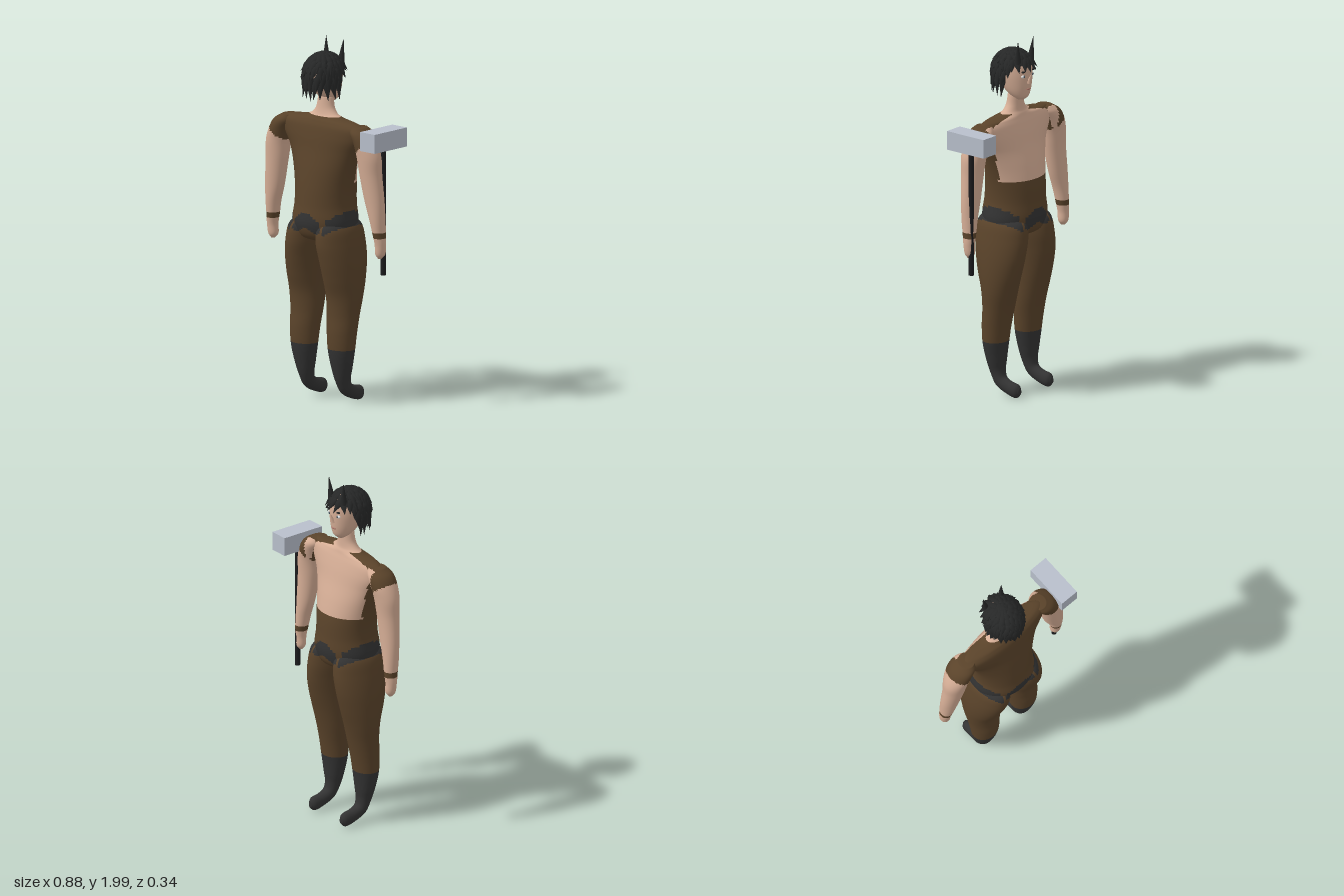
import * as THREE from 'three';

const mat = (name, color) => Object.assign(new THREE.MeshStandardMaterial({ color }), { name });

// Rows are [centreX, halfWidth, frontY, frontZ, backY, backZ], ordered from the bottom up.
// Each row is one oval ring; colourOf picks a material index for every face.
function loft(name, rows, materials, colourOf, side = 1, segments = 40, steps = 8) {
  const a = new THREE.CatmullRomCurve3(rows.map(r => new THREE.Vector3(r[0] * side, r[2], r[3])));
  const b = new THREE.CatmullRomCurve3(rows.map(r => new THREE.Vector3(r[1], r[4], r[5])));
  const n = (rows.length - 1) * steps;
  const pos = [], groups = materials.map(() => []);
  for (let i = 0; i <= n; i++) {
    const f = a.getPoint(i / n), k = b.getPoint(i / n);
    for (let j = 0; j < segments; j++) {
      const t = j / segments * Math.PI * 2, s = (1 + Math.sin(t)) / 2;
      pos.push(f.x + k.x * Math.cos(t), k.y + (f.y - k.y) * s, k.z + (f.z - k.z) * s);
    }
  }
  for (const r of [rows[0], rows[rows.length - 1]]) {
    pos.push(r[0] * side, (r[2] + r[4]) / 2, (r[3] + r[5]) / 2);
  }
  const face = (...ids) => {
    const c = [0, 1, 2].map(q => ids.reduce((sum, id) => sum + pos[id * 3 + q], 0) / ids.length);
    const list = groups[colourOf(Math.abs(c[0]), c[1], c[2])];
    list.push(ids[0], ids[1], ids[2]);
    if (ids.length === 4) list.push(ids[0], ids[2], ids[3]);
  };
  const end = (n + 1) * segments;
  for (let j = 0; j < segments; j++) {
    const j2 = (j + 1) % segments;
    for (let i = 0; i < n; i++) {
      const p = i * segments, q = p + segments;
      face(p + j, p + j2, q + j2, q + j);
    }
    face(end, j2, j);
    face(end + 1, n * segments + j, n * segments + j2);
  }
  const geo = new THREE.BufferGeometry();
  geo.setAttribute('position', new THREE.Float32BufferAttribute(pos, 3));
  geo.setIndex(groups.flat());
  let start = 0;
  groups.forEach((g, i) => { geo.addGroup(start, g.length, i); start += g.length; });
  geo.computeVertexNormals();
  const mesh = new THREE.Mesh(geo, materials);
  mesh.name = name;
  return mesh;
}

export function createModel() {
  const brown = mat('brown cloth', 0x5a432a), skin = mat('skin', 0xd6ae96);
  const dark = mat('dark leather', 0x333333), hairMat = mat('black hair', 0x262727);
  const steel = mat('steel', 0xb8bfcb), wood = mat('black handle', 0x1c1c1e);
  const white = mat('eye white', 0xe6e6e6), iris = mat('iris', 0x56636b), lip = mat('lips', 0xb07a6c);
  const cloth = [brown, skin, dark];

  const model = new THREE.Group();
  model.name = 'figure';
  const body = new THREE.Group();
  body.name = 'body';
  body.position.x = -0.015;
  model.add(body);
  const add = (parent, name, geo, material, x, y, z) => {
    const m = new THREE.Mesh(geo, material);
    m.name = name;
    m.position.set(x, y, z);
    parent.add(m);
    return m;
  };

  // Belt: a curved centre plate and a slanted band round each side
  const isBelt = (d, y) => d < 0.095
    ? y < 1.06 - d * d * 5 && y > 0.985 - 0.035 * Math.sin(Math.min(d / 0.08, 1) * Math.PI / 2)
    : d > 0.115 && y > 0.95 + (d - 0.115) * 0.6 && y < 1.025 + (d - 0.115) * 0.75;
  const bareChest = (d, y, z) => y > 1.23 && z < -0.035 && d < 0.29;

  // Torso and neck: [halfWidth, y, frontZ, backZ]
  const torso = [
    [0.08, 0.89, -0.06, 0.06], [0.17, 0.93, -0.14, 0.145], [0.188, 1.0, -0.165, 0.17],
    [0.175, 1.1, -0.16, 0.16], [0.18, 1.2, -0.152, 0.15], [0.2, 1.3, -0.13, 0.135],
    [0.235, 1.4, -0.1, 0.115], [0.285, 1.48, -0.08, 0.102], [0.3, 1.53, -0.065, 0.09],
    [0.25, 1.558, -0.055, 0.075], [0.13, 1.575, -0.05, 0.06], [0.085, 1.592, -0.043, 0.05],
    [0.058, 1.625, -0.04, 0.042], [0.045, 1.69, -0.04, 0.035],
  ].map(([w, y, f, b]) => [0, w, y, f, y, b]);
  body.add(loft('torso', torso, cloth, (d, y, z) =>
    y > 1.583 || bareChest(d, y, z) ? 1 : isBelt(d, y) ? 2 : 0, 1, 64));

  // Legs with boots, from the toe upwards
  const leg = [
    [0.135, 0.012, 0.065, -0.146, 0.03, -0.146], [0.135, 0.028, 0.085, -0.13, 0.01, -0.122],
    [0.135, 0.032, 0.096, -0.08, 0.025, -0.055], [0.135, 0.037, 0.115, -0.042, 0.06, 0.01],
    [0.134, 0.044, 0.15, -0.032, 0.12, 0.045], [0.135, 0.06, 0.2, -0.035, 0.2, 0.07],
    [0.136, 0.078, 0.3, -0.045, 0.3, 0.09], [0.135, 0.086, 0.4, -0.06, 0.4, 0.095],
    [0.133, 0.094, 0.5, -0.08, 0.5, 0.09], [0.135, 0.101, 0.6, -0.105, 0.6, 0.097],
    [0.133, 0.105, 0.7, -0.133, 0.7, 0.125], [0.125, 0.106, 0.8, -0.155, 0.8, 0.15],
    [0.11, 0.104, 0.9, -0.162, 0.9, 0.165], [0.1, 0.092, 0.98, -0.15, 0.98, 0.155],
    [0.09, 0.06, 1.03, -0.1, 1.03, 0.1],
  ];
  // Arms with sleeves and wristbands, from the hand upwards: [centreX, halfWidth, y, frontZ, backZ]
  const arm = [
    [0.393, 0.01, 0.843, -0.02, 0.005], [0.393, 0.027, 0.865, -0.036, 0.018],
    [0.396, 0.031, 0.92, -0.038, 0.025], [0.39, 0.035, 0.98, -0.042, 0.035],
    [0.383, 0.043, 1.05, -0.042, 0.045], [0.367, 0.058, 1.15, -0.042, 0.055],
    [0.345, 0.067, 1.3, -0.046, 0.07], [0.333, 0.072, 1.4, -0.056, 0.08],
    [0.31, 0.069, 1.47, -0.066, 0.085], [0.28, 0.068, 1.52, -0.062, 0.08],
    [0.255, 0.042, 1.553, -0.04, 0.055],
  ].map(([x, w, y, f, b]) => [x, w, y, f, y, b]);
  for (const s of [1, -1]) {
    const tag = s > 0 ? 'left' : 'right';
    body.add(loft(tag + 'Leg', leg, cloth, (d, y) => y < 0.315 || isBelt(d, y) ? 2 : 0, s));
    body.add(loft(tag + 'Arm', arm, cloth, (d, y, z) => {
      if (y > 0.96 && y < 0.99) return 0;
      return y > 1.42 + (d - 0.28) * 0.7 && !bareChest(d, y, z) ? 0 : 1;
    }, s));
  }

  // Head
  const head = new THREE.Group();
  head.name = 'head';
  body.add(head);
  const skull = [
    [0.02, 1.655, -0.06, -0.02], [0.045, 1.675, -0.082, 0.02], [0.066, 1.71, -0.092, 0.06],
    [0.08, 1.76, -0.098, 0.09], [0.087, 1.81, -0.1, 0.108], [0.085, 1.86, -0.095, 0.108],
    [0.066, 1.9, -0.07, 0.085], [0.03, 1.925, -0.03, 0.04],
  ].map(([w, y, f, b]) => [0, w, y, f, y, b]);
  head.add(loft('face', skull, [skin], () => 0, 1, 32, 5));
  const nose = add(head, 'nose', new THREE.ConeGeometry(0.016, 0.055, 8), skin, 0, 1.783, -0.104);
  nose.rotation.x = -0.35;
  const ball = new THREE.SphereGeometry(1, 14, 10);
  add(head, 'lips', ball, lip, 0, 1.72, -0.09).scale.set(0.02, 0.006, 0.008);
  for (const s of [1, -1]) {
    add(head, 'eye', ball, white, s * 0.035, 1.797, -0.086).scale.set(0.016, 0.01, 0.009);
    add(head, 'iris', ball, iris, s * 0.035, 1.797, -0.092).scale.set(0.007, 0.007, 0.005);
    const brow = add(head, 'eyebrow', new THREE.BoxGeometry(0.038, 0.008, 0.009), hairMat, s * 0.037, 1.823, -0.091);
    brow.rotation.set(0, s * 0.3, s * 0.2);
    const horn = add(head, 'horn', new THREE.ConeGeometry(0.02, 0.13, 8), hairMat, s * 0.059, 1.936, -0.068);
    horn.rotation.set(-0.08, 0, -s * 0.08);
  }

  // Hair: overlapping rows of pointed locks around the skull
  const hair = new THREE.Group();
  hair.name = 'hair';
  head.add(hair);
  const lock = new THREE.LatheGeometry(
    [[0, -1], [0.45, -0.45], [0.95, 0.1], [0.85, 0.6], [0, 0.9]].map(p => new THREE.Vector2(...p)), 8);
  let seed = 7;
  const rand = () => (seed = (seed * 16807) % 2147483647) / 2147483647;
  [0.22, 0.52, 0.8, 1.06, 1.32, 1.58, 1.84].forEach((theta, row) => {
    const count = Math.round(5 + 16 * Math.sin(theta));
    for (let i = 0; i < count; i++) {
      const az = (i + (row % 2) / 2 + (rand() - 0.5) * 0.4) / count * Math.PI * 2;
      const front = -Math.cos(az);
      if ((theta > 1.1 && front > 0.5) || (theta > 1.5 && front > 0.25)) continue;
      const low = row > 4, len = low ? 0.06 + rand() * 0.018 : 0.04 + rand() * 0.012;
      const out = new THREE.Vector3(Math.sin(az) * Math.sin(theta),
        low ? 0.1 : Math.cos(theta) + 0.15, Math.cos(az) * Math.sin(theta)).normalize();
      const across = new THREE.Vector3(Math.cos(az), 0, -Math.sin(az));
      const up = new THREE.Vector3().crossVectors(out, across);
      const m = add(hair, 'lock', lock, hairMat,
        Math.sin(az) * Math.sin(theta) * 0.106, 1.805 + Math.cos(theta) * 0.118 - (low ? 0.02 : 0),
        0.012 + Math.cos(az) * Math.sin(theta) * 0.122);
      m.quaternion.setFromRotationMatrix(new THREE.Matrix4().makeBasis(across, up, out));
      m.rotateZ((rand() - 0.5) * 0.5);
      m.scale.set(0.022, len, 0.013);
    }
  });

  // Hammer held in the left hand
  const hammer = new THREE.Group();
  hammer.name = 'hammer';
  model.add(hammer);
  add(hammer, 'hammerHead', new THREE.BoxGeometry(0.107, 0.105, 0.257), steel, 0.385, 1.5, -0.027);
  add(hammer, 'hammerHandle', new THREE.CylinderGeometry(0.015, 0.015, 0.71, 12), wood, 0.385, 1.105, -0.025);
  return model;
}
